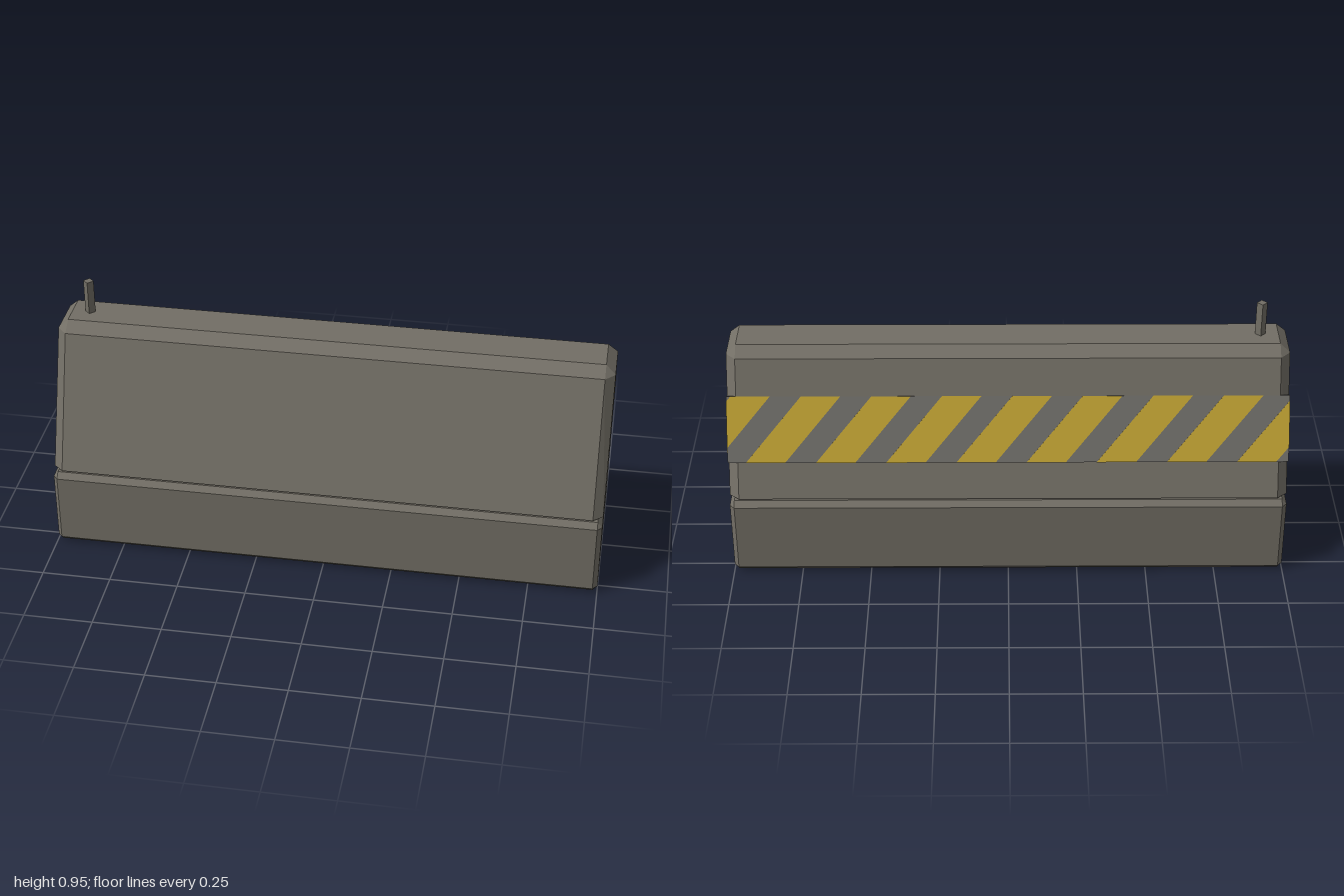
import * as THREE from 'three';

const flat = (name, color) => {
  const m = new THREE.MeshStandardMaterial({ color, flatShading: true });
  m.name = name;
  return m;
};

// Skins stacked eight-sided rings; each level is [y, xInner, xOuter, zInner, zOuter]
function chamferedBlock(levels) {
  const pos = [], idx = [];
  for (const [y, xi, xo, zi, zo] of levels) {
    const ring = [[xo, zi], [xi, zo], [-xi, zo], [-xo, zi], [-xo, -zi], [-xi, -zo], [xi, -zo], [xo, -zi]];
    for (const [x, z] of ring) pos.push(x, y, z);
  }
  const last = (levels.length - 1) * 8;
  for (let l = 0; l < last; l += 8) {
    for (let i = 0; i < 8; i++) {
      const a = l + i, b = l + (i + 1) % 8;
      idx.push(a, a + 8, b + 8, a, b + 8, b);
    }
  }
  for (let i = 1; i < 7; i++) idx.push(0, i, i + 1, last, last + i + 1, last + i);
  const indexed = new THREE.BufferGeometry();
  indexed.setAttribute('position', new THREE.Float32BufferAttribute(pos, 3));
  indexed.setIndex(idx);
  const geo = indexed.toNonIndexed();
  geo.computeVertexNormals();
  return geo;
}

// Keeps the part of a polygon where side * x <= 1
function clipX(points, side) {
  const out = [];
  points.forEach((p, i) => {
    const q = points[(i + 1) % points.length];
    const dp = 1 - side * p.x, dq = 1 - side * q.x;
    if (dp >= 0) out.push(p);
    if (dp * dq < 0) out.push(p.clone().lerp(q, dp / (dp - dq)));
  });
  return out;
}

export function createModel() {
  const model = new THREE.Group();
  model.name = 'roadBarrier';
  const concrete = flat('concrete', 0x726e65);
  const panelGrey = flat('panelGrey', 0x6e6c68);
  const yellow = flat('warningYellow', 0xbfa133);

  const add = (parent, name, geo, mat, x = 0, y = 0, z = 0) => {
    const mesh = new THREE.Mesh(geo, mat);
    mesh.name = name;
    mesh.position.set(x, y, z);
    parent.add(mesh);
    return mesh;
  };

  // Concrete foot and tapered wall
  add(model, 'base', chamferedBlock([
    [0, 0.983, 0.983, 0.28, 0.28],
    [0.02, 0.983, 1, 0.28, 0.3],
    [0.28, 0.983, 1, 0.28, 0.3],
    [0.3, 0.983, 0.983, 0.28, 0.28],
  ]), concrete);
  add(model, 'taperedWall', chamferedBlock([
    [0.296, 0.965, 0.965, 0.255, 0.255],
    [0.31, 0.965, 1, 0.257, 0.287],
    [0.793, 0.965, 1, 0.08, 0.117],
    [0.825, 0.965, 0.965, 0.07, 0.07],
  ]), concrete);

  // Square pin on top
  add(model, 'topPin', new THREE.CylinderGeometry(0.019, 0.019, 0.15, 4), concrete, -0.9, 0.876, 0);

  // Warning board leaning on the back face; its local +z points outward
  const board = new THREE.Group();
  board.name = 'warningBoard';
  board.position.set(0, 0.551, -0.2);
  board.rotation.set(0.385, Math.PI, 0);
  model.add(board);
  const h = 0.12;
  add(board, 'boardPlate', new THREE.BoxGeometry(1.998, 2 * h, 0.017), panelGrey);

  // Slanted stripes, trimmed at the board ends
  for (let k = -1; k < 8; k++) {
    const a = -0.905 + 0.25 * k, b = a + 0.14, slant = 0.2;
    const corners = [[a, h], [b, h], [b + slant, -h], [a + slant, -h]];
    let pts = corners.map(([x, y]) => new THREE.Vector2(-x, y));
    pts = clipX(clipX(pts, 1), -1);
    const geo = new THREE.ExtrudeGeometry(new THREE.Shape(pts), { depth: 0.002, bevelEnabled: false });
    add(board, 'stripe', geo, yellow, 0, 0, 0.0075);
  }

  // Yellow marks on the board's two ends
  for (const s of [-1, 1]) {
    add(board, 'endMark', new THREE.BoxGeometry(0.002, 0.105, 0.017), yellow, s * 0.999, -0.03, 0);
  }
  return model;
}
